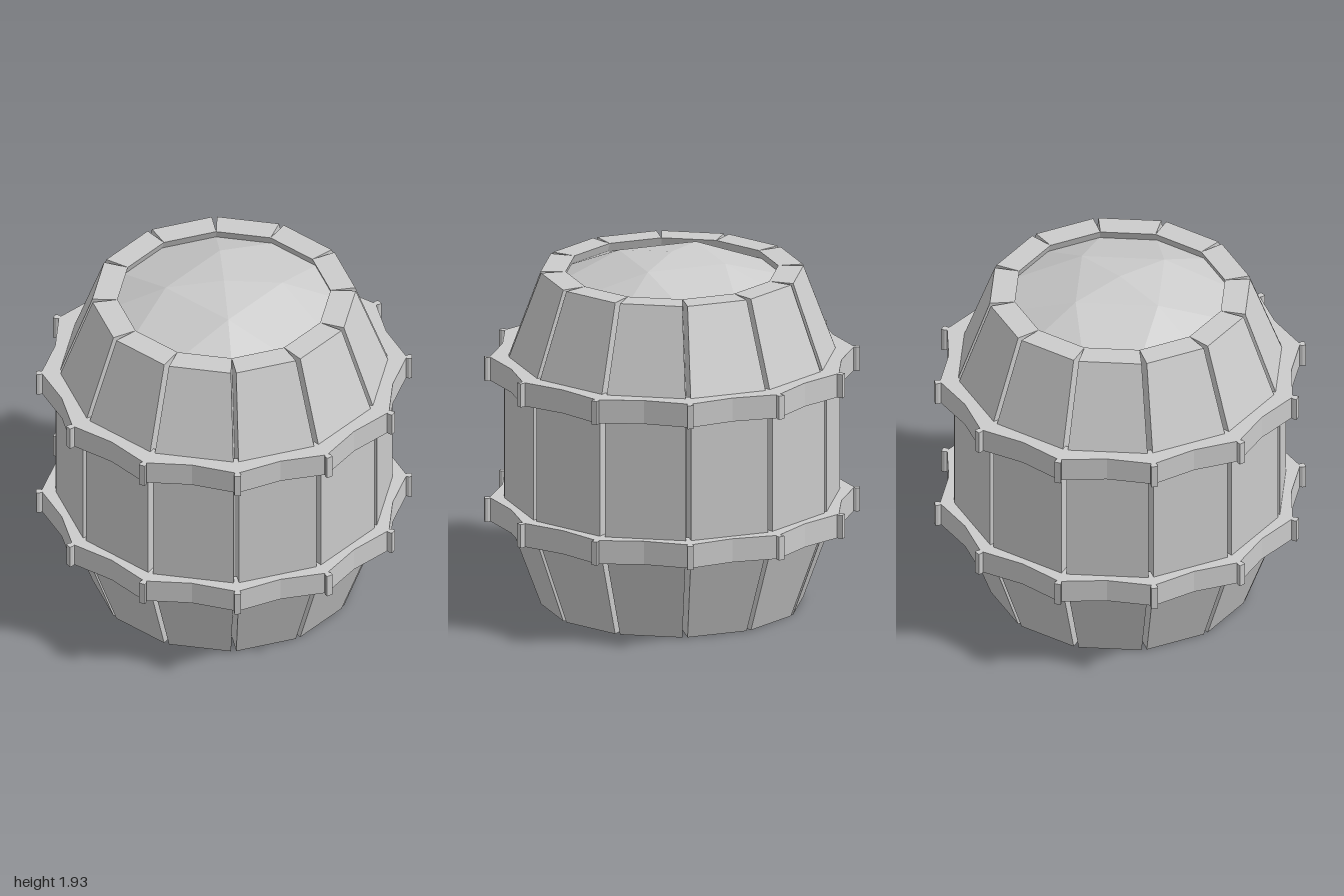
import * as THREE from 'three';

const STEP = Math.PI / 6; // twelve staves
const material = new THREE.MeshStandardMaterial({ color: 0xcccccc, flatShading: true });

// Point on a circle, angle measured from +z towards +x
const polar = (r, a, y) => [r * Math.sin(a), y, r * Math.cos(a)];

// Flat-shaded geometry from convex polygons wound counter-clockwise
function fromPolygons(polygons) {
  const positions = [];
  for (const p of polygons) {
    for (let i = 1; i < p.length - 1; i++) positions.push(...p[0], ...p[i], ...p[i + 1]);
  }
  const geometry = new THREE.BufferGeometry();
  geometry.setAttribute('position', new THREE.Float32BufferAttribute(positions, 3));
  geometry.computeVertexNormals();
  return geometry;
}

// Closed skin over a stack of cross-sections, listed bottom to top
function loft(sections) {
  const polygons = [[...sections[0]].reverse(), sections[sections.length - 1]];
  for (let s = 0; s < sections.length - 1; s++) {
    const low = sections[s], high = sections[s + 1], n = low.length;
    for (let i = 0; i < n; i++) {
      const j = (i + 1) % n;
      polygons.push([low[i], low[j], high[j], high[i]]);
    }
  }
  return fromPolygons(polygons);
}

// One bent plank; its sides leave a V-shaped groove to the next plank
function staveGeometry() {
  const profile = [[0, 0.70, 0.567], [0.53, 0.895, 0.77], [1.31, 0.895, 0.77], [1.835, 0.70, 0.567]];
  return loft(profile.map(([y, outer, inner]) => {
    const half = STEP / 2, h = half - 0.014 / outer;
    return [polar(outer, -h, y), polar(outer, h, y), polar(inner, half, y), polar(inner, -half, y)];
  }));
}

// Scalloped band with a small nub at each stave joint
function hoopGeometry() {
  const nub = [[0.968, -0.012], [0.982, -0.018], [1, -0.017], [1, 0.017], [0.982, 0.018], [0.968, 0.012]];
  const outline = [], hole = [];
  for (let k = 0; k < 12; k++) {
    const a = k * STEP, c = Math.cos(a), s = Math.sin(a);
    for (const [u, v] of nub) outline.push(new THREE.Vector2(u * c - v * s, u * s + v * c));
    const m = a + STEP / 2;
    outline.push(new THREE.Vector2(0.912 * Math.cos(m), 0.912 * Math.sin(m)));
    hole.push(new THREE.Vector2(0.84 * c, 0.84 * s));
  }
  const shape = new THREE.Shape(outline);
  shape.holes.push(new THREE.Path(hole));
  const geometry = new THREE.ExtrudeGeometry(shape, { depth: 0.13, bevelEnabled: false });
  return geometry.rotateX(-Math.PI / 2);
}

// Faceted low dome: apex, four inner corners, twelve rim corners
function lidGeometry() {
  const polygons = [], apex = [0, 1.93, 0];
  const rim = (k) => polar(0.59, k * STEP, 1.785);
  for (let q = 0; q < 4; q++) {
    const k = q * 3;
    const p = polar(0.31, k * STEP, 1.9), next = polar(0.31, (k + 3) * STEP, 1.9);
    polygons.push(
      [apex, p, next],
      [p, rim(k), rim(k + 1)],
      [p, rim(k + 1), rim(k + 2), next],
      [next, rim(k + 2), rim(k + 3)],
    );
  }
  return fromPolygons(polygons);
}

export function createModel() {
  const barrel = new THREE.Group();
  barrel.name = 'barrel';
  const add = (geometry, name, parent = barrel) => {
    const mesh = new THREE.Mesh(geometry, material);
    mesh.name = name;
    parent.add(mesh);
    return mesh;
  };

  // Staves, with joints on the axes
  const staves = new THREE.Group();
  staves.name = 'staves';
  barrel.add(staves);
  const stave = staveGeometry();
  for (let k = 0; k < 12; k++) add(stave, 'stave', staves).rotation.y = (k + 0.5) * STEP;

  // Hoops
  const hoop = hoopGeometry();
  add(hoop, 'lowerHoop').position.y = 0.465;
  add(hoop, 'upperHoop').position.y = 1.245;

  // Domed lid and recessed flat bottom
  add(lidGeometry(), 'lid');
  const bottom = add(new THREE.CircleGeometry(0.61, 12), 'bottom');
  bottom.rotation.x = Math.PI / 2;
  bottom.position.y = 0.09;

  return barrel;
}
